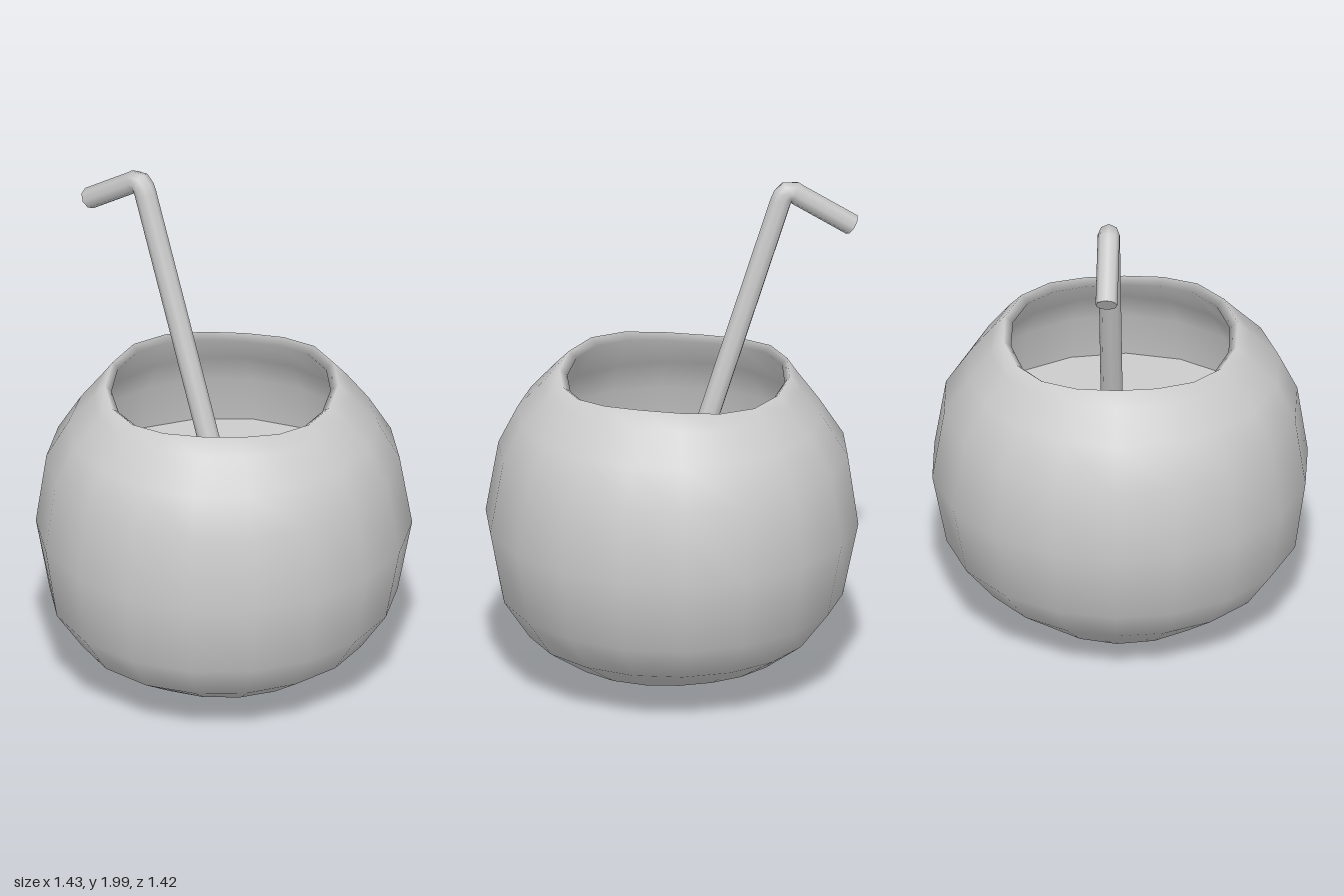
import * as THREE from 'three';

const SEGMENTS = 18;
const LIQUID_Y = 0.76;

// Each ring: height, then radii toward +x, +z, -x, -z, then rim waviness
const RINGS = [
  [0.005, 0, 0, 0, 0, 0],
  [0.02, 0.20, 0.14, 0.18, 0.13, 0],
  [0.10, 0.40, 0.40, 0.42, 0.36, 0],
  [0.21, 0.56, 0.58, 0.54, 0.55, 0],
  [0.36, 0.66, 0.68, 0.65, 0.67, 0],
  [0.65, 0.715, 0.72, 0.71, 0.725, 0],
  [0.93, 0.665, 0.68, 0.67, 0.68, 0],
  [1.08, 0.59, 0.61, 0.575, 0.585, 0],
  [1.19, 0.49, 0.50, 0.49, 0.50, 0.008],
  [1.24, 0.43, 0.45, 0.45, 0.45, 0.018],
  [1.215, 0.40, 0.42, 0.43, 0.42, 0.016],
  [1.08, 0.51, 0.51, 0.51, 0.51, 0],
  [0.95, 0.58, 0.58, 0.58, 0.58, 0],
  [0.72, 0.62, 0.62, 0.62, 0.62, 0],
];

// Loft the slightly uneven rings into one hollow shell with a rolled rim
function shellGeometry() {
  const positions = [];
  const index = [];
  RINGS.forEach(([y, px, pz, nx, nz, wave], row) => {
    for (let i = 0; i < SEGMENTS; i++) {
      const angle = (i / SEGMENTS) * Math.PI * 2;
      const c = Math.cos(angle);
      const s = Math.sin(angle);
      const r = (c > 0 ? px : nx) * c * c + (s > 0 ? pz : nz) * s * s;
      positions.push(r * c, y + wave * Math.cos(3 * (angle - 0.96)), r * s);
      if (row === RINGS.length - 1) continue;
      const a = row * SEGMENTS + i;
      const b = row * SEGMENTS + ((i + 1) % SEGMENTS);
      if (row > 0) index.push(a, b + SEGMENTS, b);
      index.push(a, a + SEGMENTS, b + SEGMENTS);
    }
  });
  const geometry = new THREE.BufferGeometry();
  geometry.setAttribute('position', new THREE.Float32BufferAttribute(positions, 3));
  geometry.setIndex(index);
  geometry.computeVertexNormals();
  return geometry;
}

export function createModel() {
  const model = new THREE.Group();
  model.name = 'coconutDrink';
  const material = new THREE.MeshStandardMaterial({ color: 0xcccccc });
  const add = (name, geometry, parent = model) => {
    const mesh = new THREE.Mesh(geometry, material);
    mesh.name = name;
    parent.add(mesh);
    return mesh;
  };

  add('coconutShell', shellGeometry());

  // Flat drink surface inside the shell
  const liquid = add('liquid', new THREE.CircleGeometry(0.63, SEGMENTS));
  liquid.rotation.x = -Math.PI / 2;
  liquid.position.y = LIQUID_Y;

  // Bent straw: long leg, rounded elbow, short mouthpiece
  const straw = new THREE.Group();
  straw.name = 'straw';
  straw.position.z = -0.03;
  model.add(straw);
  const point = (x, y) => new THREE.Vector3(x, y, 0);
  const elbowStart = point(-0.412, 1.9);
  const elbowEnd = point(-0.485, 1.935);
  const tip = point(-0.695, 1.793);
  const path = new THREE.CurvePath();
  path.add(new THREE.LineCurve3(point(-0.02, 0.72), elbowStart));
  path.add(new THREE.QuadraticBezierCurve3(elbowStart, point(-0.435, 1.985), elbowEnd));
  path.add(new THREE.LineCurve3(elbowEnd, tip));
  add('strawTube', new THREE.TubeGeometry(path, 64, 0.042, 8), straw);

  // Closed end of the mouthpiece
  const cap = add('strawTip', new THREE.CircleGeometry(0.042, 8), straw);
  cap.position.copy(tip);
  cap.quaternion.setFromUnitVectors(
    new THREE.Vector3(0, 0, 1),
    tip.clone().sub(elbowEnd).normalize(),
  );

  return model;
}
